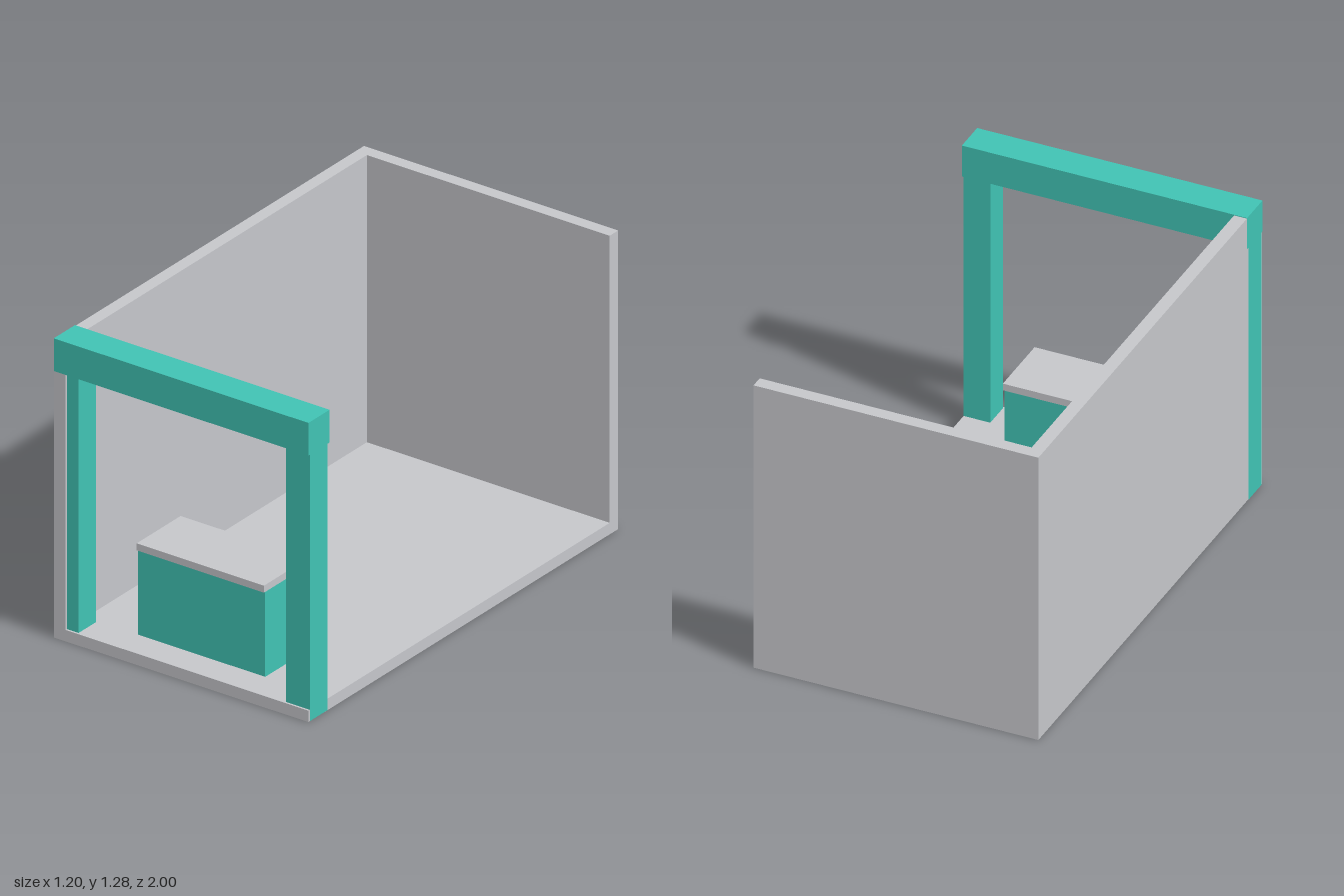
import * as THREE from 'three';

export function createModel() {
  const model = new THREE.Group();
  const grey = new THREE.MeshStandardMaterial({ color: 0xc5c6ca });
  grey.name = 'light grey';
  const teal = new THREE.MeshStandardMaterial({ color: 0x40c2b3 });
  teal.name = 'teal';

  // Box given by its extents along each axis
  function box(name, material, [x0, x1], [y0, y1], [z0, z1]) {
    const mesh = new THREE.Mesh(new THREE.BoxGeometry(x1 - x0, y1 - y0, z1 - z0), material);
    mesh.position.set((x0 + x1) / 2, (y0 + y1) / 2, (z0 + z1) / 2);
    mesh.name = name;
    model.add(mesh);
  }

  // Room shell: floor and two walls, a hair inside the frame's outer faces
  box('floor', grey, [-0.599, 0.599], [0.001, 0.05], [-1, 0.999]);
  box('backWall', grey, [-0.599, 0.599], [0.05, 1.277], [-1, -0.945]);
  box('sideWall', grey, [-0.599, -0.545], [0.05, 1.277], [-0.945, 0.999]);

  // Entrance frame: two posts and a wider beam
  box('rightPost', teal, [-0.6, -0.49], [0, 1.14], [0.877, 0.99]);
  box('leftPost', teal, [0.487, 0.6], [0.002, 1.14], [0.877, 0.99]);
  box('beam', teal, [-0.6, 0.6], [1.14, 1.28], [0.863, 1]);

  // Counter with an overhanging top
  box('counterBase', teal, [-0.3, 0.3], [0.05, 0.413], [0.608, 0.868]);
  box('counterTop', grey, [-0.3, 0.3], [0.413, 0.443], [0.592, 0.876]);

  return model;
}
